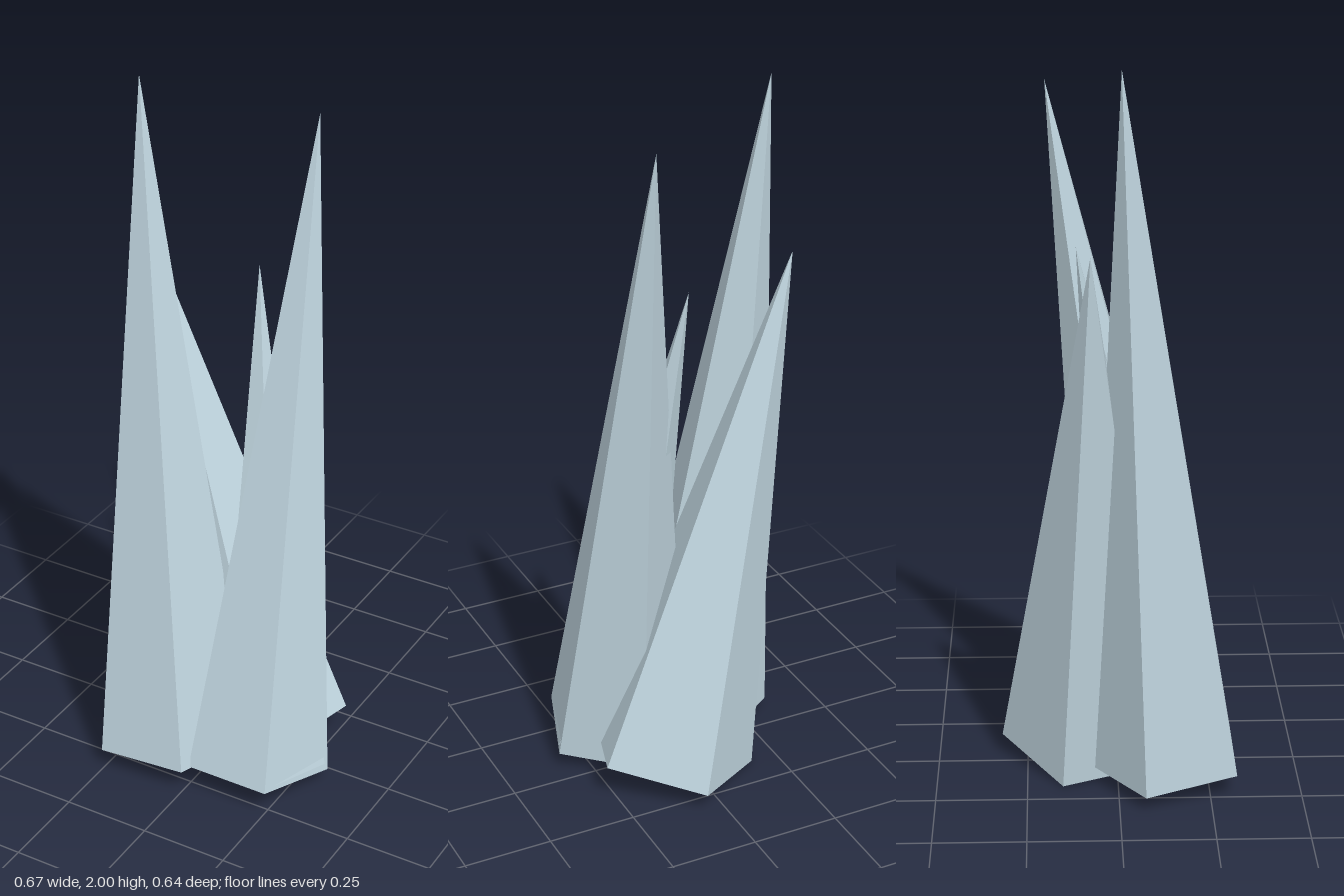
import * as THREE from 'three';

const UP = new THREE.Vector3(0, 1, 0);

// A five-sided spike from the centre of its base to its tip, flat side to the front
function makeSpike(name, base, tip, radius, material) {
  const foot = new THREE.Vector3(...base);
  const axis = new THREE.Vector3(...tip).sub(foot);
  const length = axis.length();
  const geometry = new THREE.ConeGeometry(radius, length, 5);
  geometry.rotateY(Math.PI);
  geometry.translate(0, length / 2, 0);
  const mesh = new THREE.Mesh(geometry, material);
  mesh.name = name;
  mesh.quaternion.setFromUnitVectors(UP, axis.normalize());
  mesh.position.copy(foot);
  return mesh;
}

export function createModel() {
  const ice = new THREE.MeshStandardMaterial({ color: 0xbfd4de, flatShading: true });
  ice.name = 'paleIce';

  const model = new THREE.Group();
  model.name = 'iceSpikes';

  // Name, base centre, tip, base radius
  const spikes = [
    ['frontRightSpike', [-0.12, 0.065, 0.14], [-0.28, 2.0, 0.005], 0.225],
    ['frontLeftSpike', [0.138, 0.062, 0.123], [0.142, 1.91, -0.188], 0.208],
    ['backSpike', [0.055, 0.06, -0.076], [-0.31, 1.53, -0.075], 0.246],
    ['innerSpike', [0.18, 0.065, 0.12], [0.012, 1.485, -0.108], 0.16],
  ];
  for (const [name, base, tip, radius] of spikes) {
    model.add(makeSpike(name, base, tip, radius, ice));
  }
  return model;
}
